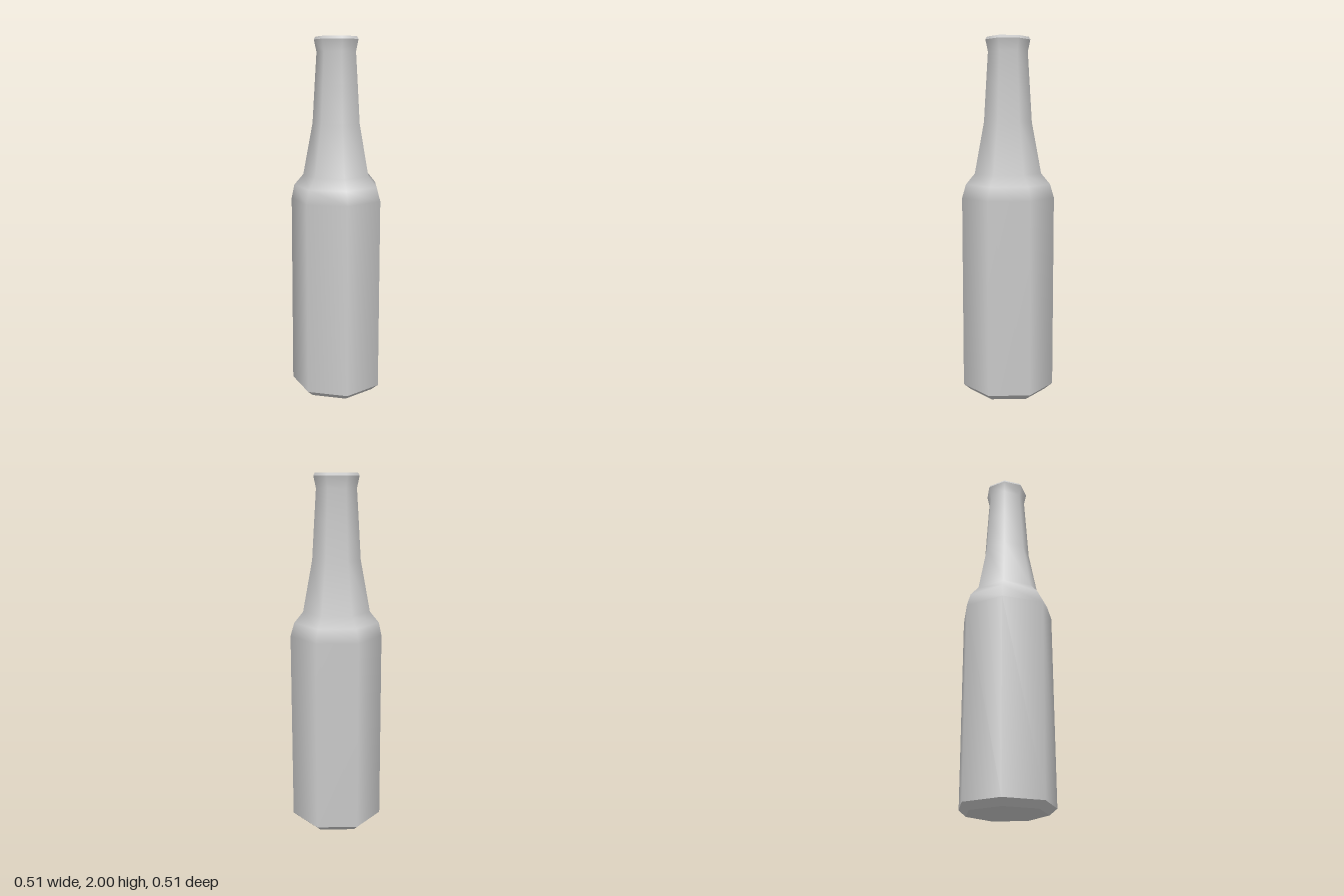
import * as THREE from 'three';

const SIDES = 7;

export function createModel() {
  const bottle = new THREE.Group();
  bottle.name = 'bottle';
  const material = new THREE.MeshStandardMaterial({ color: 0xcccccc });

  // Seven-sided turned section with one corner at the back; each section is smooth,
  // and the joints between sections stay sharp.
  function turned(name, profile) {
    const points = profile.map(([r, y]) => new THREE.Vector2(r, y));
    const geometry = new THREE.LatheGeometry(points, SIDES, Math.PI);
    const mesh = new THREE.Mesh(geometry, material);
    mesh.name = name;
    mesh.position.z = 0.006;
    bottle.add(mesh);
    return mesh;
  }

  // Underside and its chamfer
  turned('base', [[0, 0], [0.222, 0]]);
  turned('baseChamfer', [[0.222, 0], [0.263, 0.035]]);

  // Body, rounded shoulder and tapering neck up to the flared mouth
  const profile = [
    [0.263, 0.035], [0.263, 1.12], [0.241, 1.195], [0.19, 1.255],
    [0.136, 1.54], [0.123, 1.75], [0.112, 1.92], [0.126, 1.985],
  ];
  const body = turned('body', profile);

  // Slight dent and bulge in two corners of the shoulder ring
  const pos = body.geometry.attributes.position;
  const nudge = (corner, dx, dz) => {
    const i = corner * profile.length + 1;
    pos.setX(i, pos.getX(i) + dx);
    pos.setZ(i, pos.getZ(i) + dz);
  };
  nudge(2, 0.006, 0);
  nudge(3, 0.004, 0.011);

  // Bevelled lip, then the inside of the mouth and its floor
  turned('lip', [[0.126, 1.985], [0.117, 2]]);
  turned('mouthInside', [[0.117, 2], [0.098, 1.93], [0.084, 1.84]]);
  turned('mouthFloor', [[0.084, 1.84], [0, 1.84]]);

  return bottle;
}
